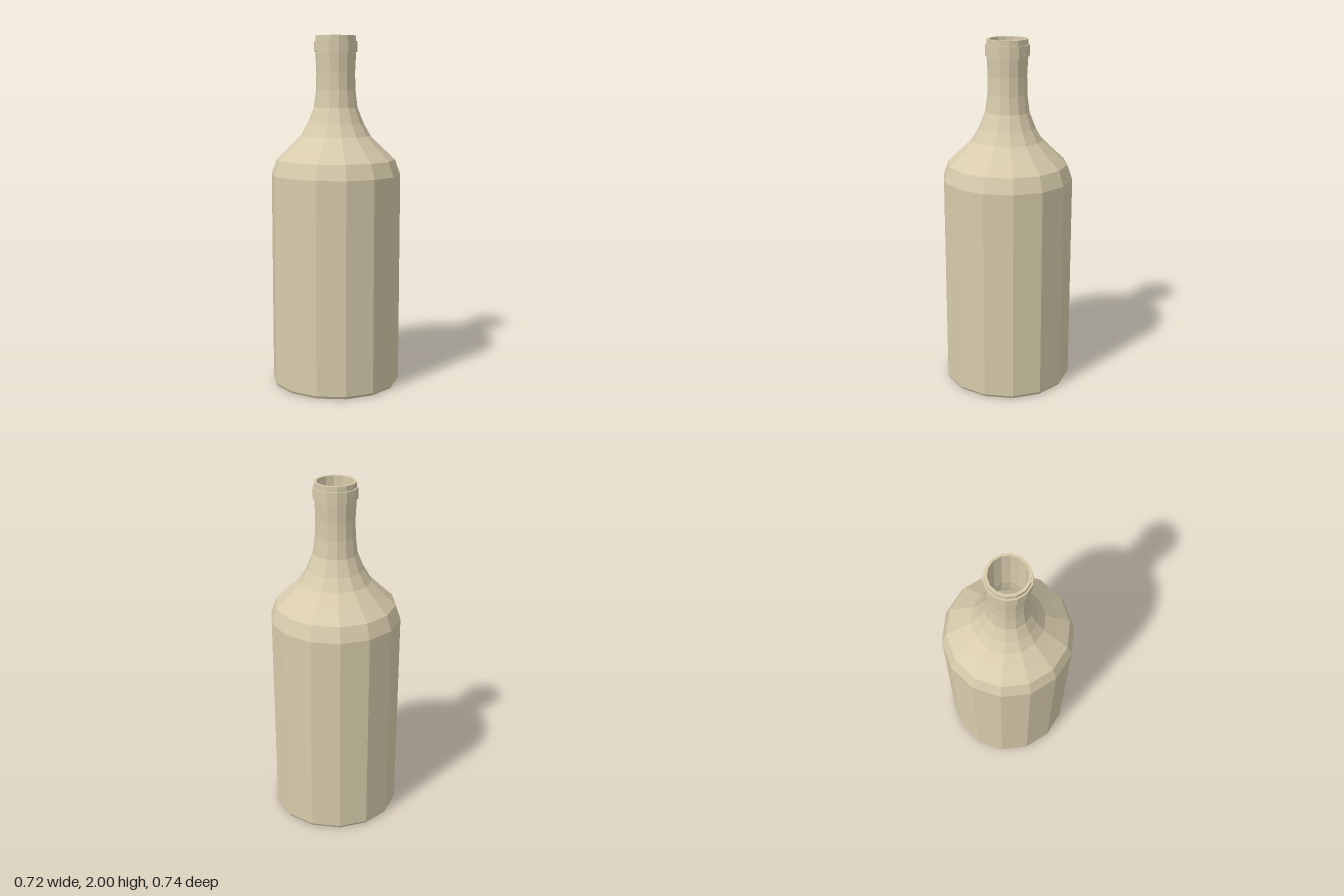
import * as THREE from 'three';

const SIDES = 14;

export function createModel() {
  const group = new THREE.Group();
  const material = new THREE.MeshStandardMaterial({ color: 0xd8ccac, flatShading: true });

  // Turns a [radius, height] profile around the y axis
  const turned = (name, profile) => {
    const points = profile.map(([r, y]) => new THREE.Vector2(r, y));
    const mesh = new THREE.Mesh(new THREE.LatheGeometry(points, SIDES), material);
    mesh.name = name;
    group.add(mesh);
  };

  // Hollow bottle: up the outside, over the lip, down the inside
  turned('bottle', [
    [0, 0], [0.362, 0], [0.37, 0.015], [0.37, 1.22], [0.34, 1.305],
    [0.265, 1.375], [0.2, 1.44], [0.16, 1.51], [0.124, 1.6], [0.112, 1.7],
    [0.11, 1.8], [0.115, 1.9], [0.115, 2], [0.101, 2],
    [0.101, 1.9], [0.096, 1.7], [0.108, 1.6], [0.144, 1.51], [0.184, 1.44],
    [0.25, 1.365], [0.325, 1.295], [0.352, 1.22], [0.352, 0.03], [0, 0.03],
  ]);

  // Raised band below the lip
  turned('neckCollar', [
    [0.108, 1.91], [0.123, 1.91], [0.123, 1.97], [0.108, 1.97],
  ]);

  return group;
}
